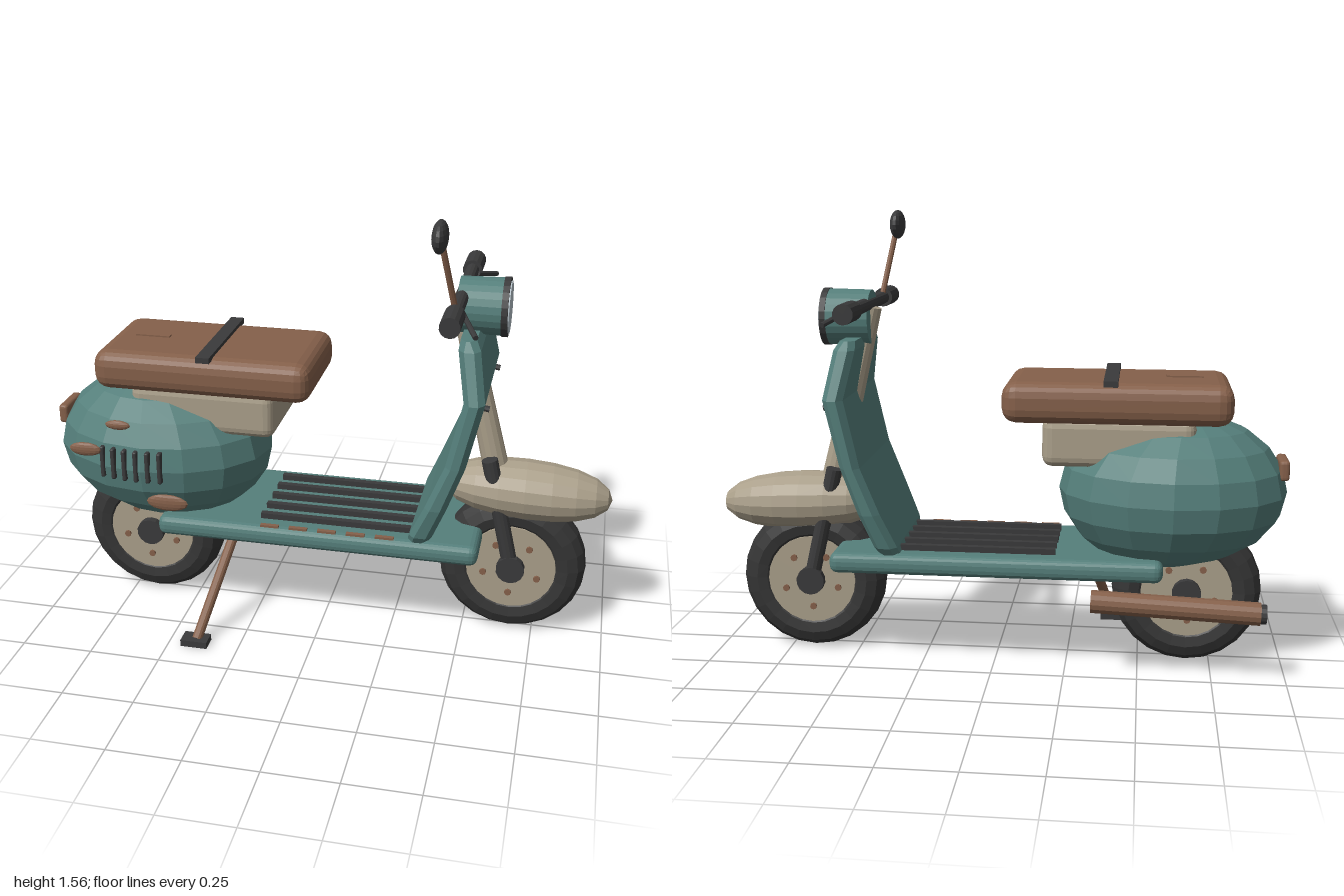
import * as THREE from 'three';
import { RoundedBoxGeometry } from 'three/addons/geometries/RoundedBoxGeometry.js';

const paint = (name, color) => Object.assign(new THREE.MeshStandardMaterial({ color }), { name });

export function createModel() {
  const teal = paint('teal paint', 0x557f7b);
  const cream = paint('cream paint', 0xaa9f8a);
  const brown = paint('brown leather', 0x85604a);
  const dark = paint('dark metal', 0x3a3a3b);
  const rubber = paint('rubber', 0x353535);
  const glass = paint('lamp glass', 0xb7c3ca);

  const model = new THREE.Group();
  model.name = 'scooter';
  const body = new THREE.Group();
  body.name = 'body';
  body.position.z = -0.015; // the side stand reaches further out than the handlebar
  model.add(body);

  // Faceted mesh helper
  function add(name, geo, mat, pos = [0, 0, 0], parent = body) {
    const g = geo.index ? geo.toNonIndexed() : geo;
    g.computeVertexNormals();
    const m = new THREE.Mesh(g, mat);
    m.name = name;
    m.position.set(...pos);
    parent.add(m);
    return m;
  }
  // Tapered rod from a to b
  function rod(name, a, b, r, mat, r2 = r, sides = 14, parent = body) {
    const A = new THREE.Vector3(...a), B = new THREE.Vector3(...b);
    const d = B.clone().sub(A);
    const m = add(name, new THREE.CylinderGeometry(r2, r, d.length(), sides), mat,
      A.clone().add(B).multiplyScalar(0.5).toArray(), parent);
    m.quaternion.setFromUnitVectors(new THREE.Vector3(0, 1, 0), d.normalize());
    return m;
  }
  const box = (name, size, pos, mat) => add(name, new THREE.BoxGeometry(...size), mat, pos);
  const pad = (name, size, pos, r, mat) => add(name, new RoundedBoxGeometry(...size, 2, r), mat, pos);

  // Wheels: tyre, rim, hub and bolts
  const tyreProfile = [[0.15, -0.055], [0.165, -0.066], [0.2, -0.072], [0.235, -0.058], [0.256, -0.03],
    [0.26, 0], [0.256, 0.03], [0.235, 0.058], [0.2, 0.072], [0.165, 0.066], [0.15, 0.055]]
    .map(([r, y]) => new THREE.Vector2(r, y));
  for (const [name, x] of [['rearWheel', -0.665], ['frontWheel', 0.665]]) {
    const wheel = new THREE.Group();
    wheel.name = name;
    wheel.position.set(x, 0.267, 0);
    body.add(wheel);
    add('tyre', new THREE.LatheGeometry(tyreProfile, 24).rotateX(Math.PI / 2), rubber, [0, 0, 0], wheel);
    rod('rim', [0, 0, -0.068], [0, 0, 0.068], 0.158, cream, 0.158, 24, wheel);
    rod('hub', [0, 0, -0.094], [0, 0, 0.094], 0.05, dark, 0.05, 14, wheel);
    for (let i = 0; i < 5; i++) {
      const t = i / 5 * Math.PI * 2 + 0.9, bx = Math.cos(t) * 0.1, by = Math.sin(t) * 0.1;
      rod('wheelBolt', [bx, by, -0.076], [bx, by, 0.076], 0.012, brown, 0.012, 8, wheel);
    }
  }

  // Front fork, mudguard and steering column
  for (const s of [-1, 1]) rod('forkLeg', [0.572, 0.675, s * 0.066], [0.665, 0.267, s * 0.066], 0.028, dark);
  const guard = new THREE.SphereGeometry(1, 16, 10).rotateZ(-Math.PI / 2);
  const gp = guard.attributes.position;
  for (let i = 0; i < gp.count; i++) {
    const x = gp.getX(i), y = gp.getY(i);
    // The tail is blunter and the nose droops a little
    const full = 1 + 0.12 * x * x;
    gp.setXYZ(i, x * 0.295, y * 0.105 * full - 0.012 * x, gp.getZ(i) * 0.118 * full);
  }
  add('frontMudguard', guard, cream, [0.7, 0.545, 0]);
  rod('steeringColumn', [0.59, 0.62, 0], [0.44, 1.24, 0], 0.045, cream, 0.034);

  // Leg shield lofted upward: height, back x, front x, half width
  const rows = [[0.41, 0.315, 0.385, 0.225], [0.44, 0.322, 0.402, 0.245], [0.56, 0.375, 0.45, 0.27],
    [0.72, 0.44, 0.508, 0.275], [0.95, 0.492, 0.562, 0.275], [1.11, 0.462, 0.535, 0.212], [1.14, 0.465, 0.518, 0.188]];
  const verts = [], faces = [];
  for (const [y, b, f, w] of rows) {
    for (const [x, z] of [[b, w - 0.025], [b + 0.02, w], [f - 0.02, w], [f, w - 0.025],
      [f, 0.025 - w], [f - 0.02, -w], [b + 0.02, -w], [b, 0.025 - w]]) verts.push(x, y, z);
  }
  const last = (rows.length - 1) * 8;
  for (let j = 0; j < last; j += 8) {
    for (let i = 0; i < 8; i++) {
      const a = j + i, b = j + (i + 1) % 8;
      faces.push(a, b, b + 8, a, b + 8, a + 8);
    }
  }
  for (let i = 1; i < 7; i++) faces.push(0, i + 1, i, last, last + i, last + i + 1);
  const shield = new THREE.BufferGeometry();
  shield.setAttribute('position', new THREE.Float32BufferAttribute(verts, 3));
  shield.setIndex(faces);
  add('legShield', shield, teal);
  for (const s of [-1, 1]) rod('shieldBolt', [0.545, 0.92, s * 0.193], [0.572, 0.915, s * 0.193], 0.011, dark, 0.011, 8);

  // Headlamp
  rod('headlampShell', [0.44, 1.205, 0], [0.588, 1.205, 0], 0.094, teal, 0.097, 24);
  rod('headlampRing', [0.585, 1.205, 0], [0.606, 1.205, 0], 0.1, dark, 0.1, 24);
  rod('headlampGlass', [0.6, 1.205, 0], [0.61, 1.205, 0], 0.087, glass, 0.087, 24);

  // Handlebar, grips and levers
  rod('handlebar', [0.453, 1.25, -0.3], [0.453, 1.25, 0.3], 0.023, dark);
  for (const s of [-1, 1]) {
    rod('grip', [0.453, 1.25, s * 0.25], [0.453, 1.25, s * 0.385], 0.034, dark);
    rod('lever', [0.475, 1.245, s * 0.225], [0.53, 1.212, s * 0.35], 0.009, dark, 0.009, 8);
  }

  // Mirror on the +z side
  rod('mirrorStalk', [0.45, 1.26, 0.225], [0.412, 1.48, 0.298], 0.01, brown, 0.01, 8);
  add('mirrorHead', new THREE.SphereGeometry(1, 14, 10).scale(0.026, 0.052, 0.071), dark, [0.405, 1.512, 0.306]);

  // Floorboard with grip strips and a dashed trim
  pad('floorboard', [1.14, 0.072, 0.485], [-0.01, 0.38, 0], 0.028, teal);
  for (let i = -2; i <= 2; i++) box('floorStrip', [0.57, 0.024, 0.022], [0.07, 0.424, i * 0.079], dark);
  for (let i = 0; i < 5; i++) box('floorTrimDash', [0.065, 0.008, 0.016], [-0.17 + i * 0.102, 0.418, 0.222], brown);

  // Rear cowl, leaning back toward its top
  const cowl = new THREE.SphereGeometry(1, 16, 10);
  const cp = cowl.attributes.position;
  for (let i = 0; i < cp.count; i++) {
    const x = cp.getX(i), y = cp.getY(i), z = cp.getZ(i);
    cp.setXYZ(i, x * 0.392 - 0.04 * y * y * y, y * 0.268, z * 0.302);
  }
  add('rearCowl', cowl, teal, [-0.608, 0.618, 0]);

  // Cooling slots and oval badges on the +z side of the cowl
  for (let i = 0; i < 6; i++) {
    const x = -0.752 + i * 0.0425;
    const z = 0.3 * Math.sqrt(1 - ((x + 0.608) / 0.392) ** 2);
    pad('coolingSlot', [0.016, 0.115, 0.03], [x, 0.635, z - 0.008], 0.006, dark);
  }
  for (const [x, y, rx, ry] of [[-0.685, 0.782, 0.045, 0.017], [-0.81, 0.68, 0.058, 0.025], [-0.52, 0.502, 0.075, 0.031]]) {
    add('ovalPanel', new THREE.SphereGeometry(1, 16, 8).scale(rx, ry, 0.012), brown, [x, y, 0.285]);
  }
  pad('tailLamp', [0.035, 0.07, 0.14], [-0.982, 0.705, 0], 0.012, brown);

  // Seat
  pad('seatBase', [0.515, 0.17, 0.34], [-0.423, 0.805, 0], 0.035, cream);
  pad('seat', [0.77, 0.14, 0.425], [-0.415, 0.942, 0], 0.05, brown);
  box('seatStrap', [0.048, 0.02, 0.435], [-0.395, 1.015, 0], dark);
  box('seatTab', [0.125, 0.008, 0.025], [-0.642, 1.013, 0], brown);

  // Exhaust on the -z side
  rod('exhaust', [-0.34, 0.275, -0.225], [-0.905, 0.252, -0.225], 0.039, brown);
  rod('exhaustTip', [-0.9, 0.252, -0.225], [-0.925, 0.251, -0.225], 0.033, dark);

  // Side stand
  rod('standLeg', [-0.315, 0.37, 0.09], [-0.4, 0.025, 0.385], 0.018, brown);
  box('standFoot', [0.095, 0.024, 0.06], [-0.405, 0.019, 0.385], dark);

  return model;
}
